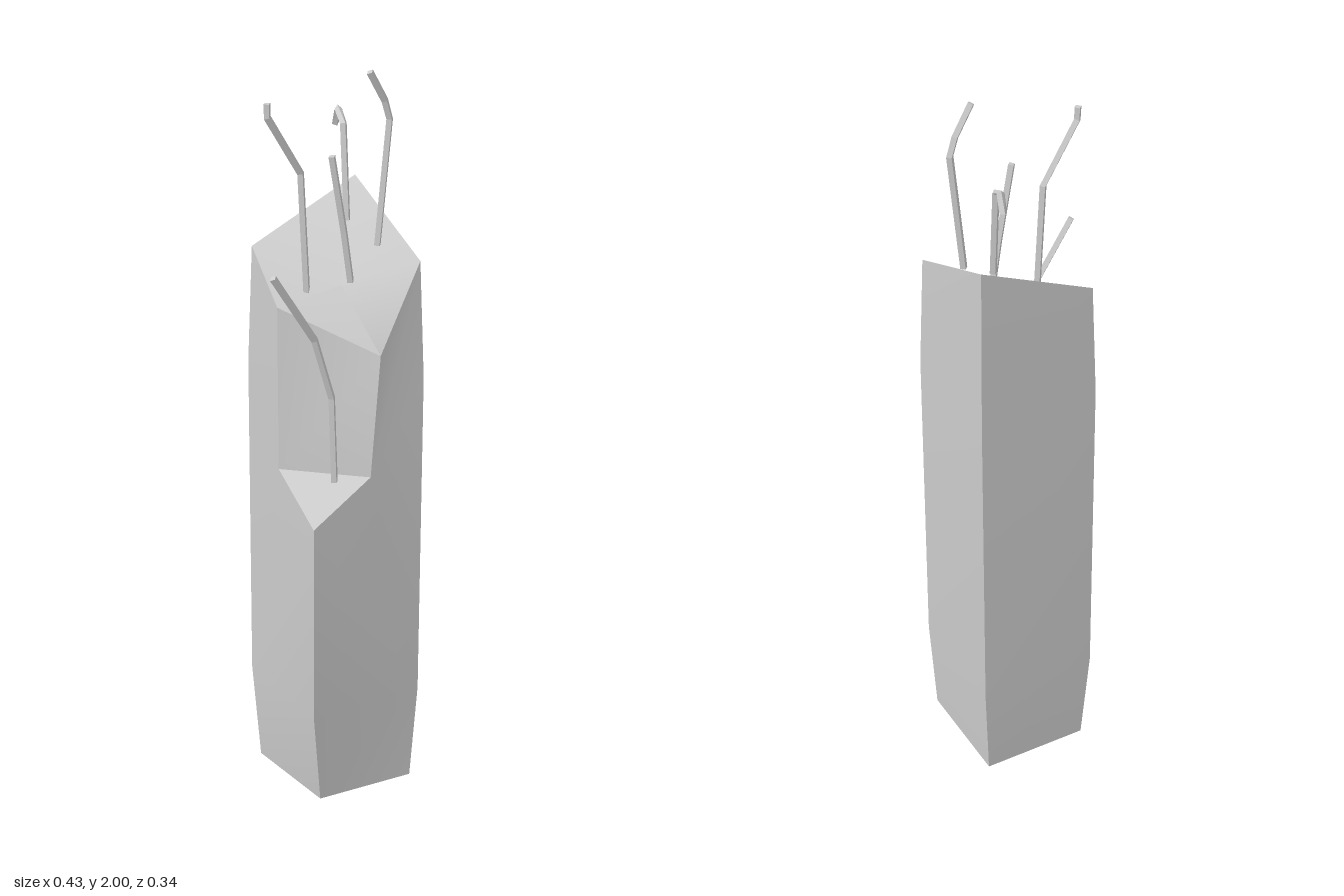
import * as THREE from 'three';
import { toCreasedNormals } from 'three/addons/utils/BufferGeometryUtils.js';

const material = new THREE.MeshStandardMaterial({ color: 0xcccccc });

// Fan each polygon (corners counter-clockwise from outside) into triangles
function polygonGeometry(polygons) {
  const points = [];
  for (const p of polygons) {
    for (let i = 1; i < p.length - 1; i++) points.push(p[0], p[i], p[i + 1]);
  }
  const geometry = new THREE.BufferGeometry().setFromPoints(points);
  geometry.computeVertexNormals();
  return geometry;
}

const v = (x, y, z) => new THREE.Vector3(x, y, z);

// Square concrete column with a slanted broken top and a notch in one front corner
function columnGeometry() {
  // Corner columns: a = back +x, b = back -x, c = front +x, d = front -x
  const a = [v(0.197, 0, -0.155), v(0.212, 0.28, -0.168), v(0.213, 1.2, -0.168), v(0.207, 1.66, -0.163)];
  const b = [v(-0.1, 0, -0.155), v(-0.118, 0.28, -0.168), v(-0.118, 1.2, -0.168), v(-0.105, 1.52, -0.165)];
  const c = [v(0.198, 0, 0.155), v(0.212, 0.28, 0.168), v(0.213, 1.2, 0.168), v(0.205, 1.52, 0.155)];
  const d = [v(-0.08, 0, 0.135), v(-0.12, 0.28, 0.168), v(-0.12, 0.845, 0.168)];
  // Notch: foot and top of its wall on the front face and on the -x face
  const frontLow = v(0.053, 0.955, 0.168), frontHigh = v(0.08, 1.29, 0.168);
  const sideLow = v(-0.12, 0.95, -0.01), sideHigh = v(-0.116, 1.4, -0.018);
  const middle = v(0.045, 1.445, 0.03);

  const faces = [[a[0], c[0], d[0], b[0]]];
  // Tapered foot
  for (const [p, q] of [[a, b], [c, a], [d, c], [b, d]]) faces.push([p[0], q[0], q[1], p[1]]);
  // Whole back and +x sides
  for (const [p, q] of [[a, b], [c, a]]) {
    for (const i of [1, 2]) faces.push([p[i], q[i], q[i + 1], p[i + 1]]);
  }
  faces.push(
    // Front and -x sides around the notch
    [c[1], c[2], frontLow, d[2], d[1]],
    [frontLow, c[2], c[3], frontHigh],
    [b[1], d[1], d[2], sideLow, b[2]],
    [b[2], sideLow, sideHigh, b[3]],
    // Notch shelf and wall
    [d[2], frontLow, sideLow],
    [sideLow, frontLow, frontHigh, sideHigh],
    // Sloping broken top
    [middle, c[3], a[3], b[3], sideHigh, frontHigh, c[3]],
  );
  return toCreasedNormals(polygonGeometry(faces), 0.5);
}

// Bent bar with a diamond section following a path
function barGeometry(path, radius = 0.01) {
  const rings = path.map((p, i) => {
    const before = path[Math.max(i - 1, 0)], after = path[Math.min(i + 1, path.length - 1)];
    const t = after.clone().sub(before).normalize();
    const w = v(1, 0, 0).cross(t).normalize().multiplyScalar(radius);
    const u = t.clone().cross(w);
    return [p.clone().add(u), p.clone().sub(w), p.clone().sub(u), p.clone().add(w)];
  });
  const faces = [[...rings[0]].reverse(), rings[rings.length - 1]];
  for (let k = 0; k < rings.length - 1; k++) {
    for (let i = 0; i < 4; i++) {
      const j = (i + 1) % 4;
      faces.push([rings[k][i], rings[k][j], rings[k + 1][j], rings[k + 1][i]]);
    }
  }
  return polygonGeometry(faces);
}

export function createModel() {
  const group = new THREE.Group();
  group.name = 'brokenColumn';

  const column = new THREE.Mesh(columnGeometry(), material);
  column.name = 'concreteColumn';
  group.add(column);

  // Bent reinforcing bars sticking out of the broken concrete
  const bars = new THREE.Group();
  bars.name = 'reinforcingBars';
  const paths = [
    [[-0.025, 0.94, 0.115], [-0.034, 1.18, 0.115], [-0.085, 1.35, 0.115], [-0.205, 1.54, 0.115]],
    [[-0.032, 1.41, -0.01], [-0.05, 1.75, -0.01], [-0.145, 1.91, -0.01], [-0.146, 1.945, -0.01]],
    [[0.065, 1.455, 0.045], [0.045, 1.59, 0.045], [0.008, 1.8, 0.045]],
    [[0.145, 1.54, 0.045], [0.178, 1.87, 0.045], [0.163, 1.92, 0.045], [0.118, 2, 0.045]],
    [[0.12, 1.58, -0.063], [0.128, 1.83, -0.095], [0.14, 1.855, -0.14], [0.144, 1.81, -0.16]],
  ];
  paths.forEach((path, i) => {
    const bar = new THREE.Mesh(barGeometry(path.map((p) => v(...p))), material);
    bar.name = `bar${i + 1}`;
    bars.add(bar);
  });
  group.add(bars);
  return group;
}
